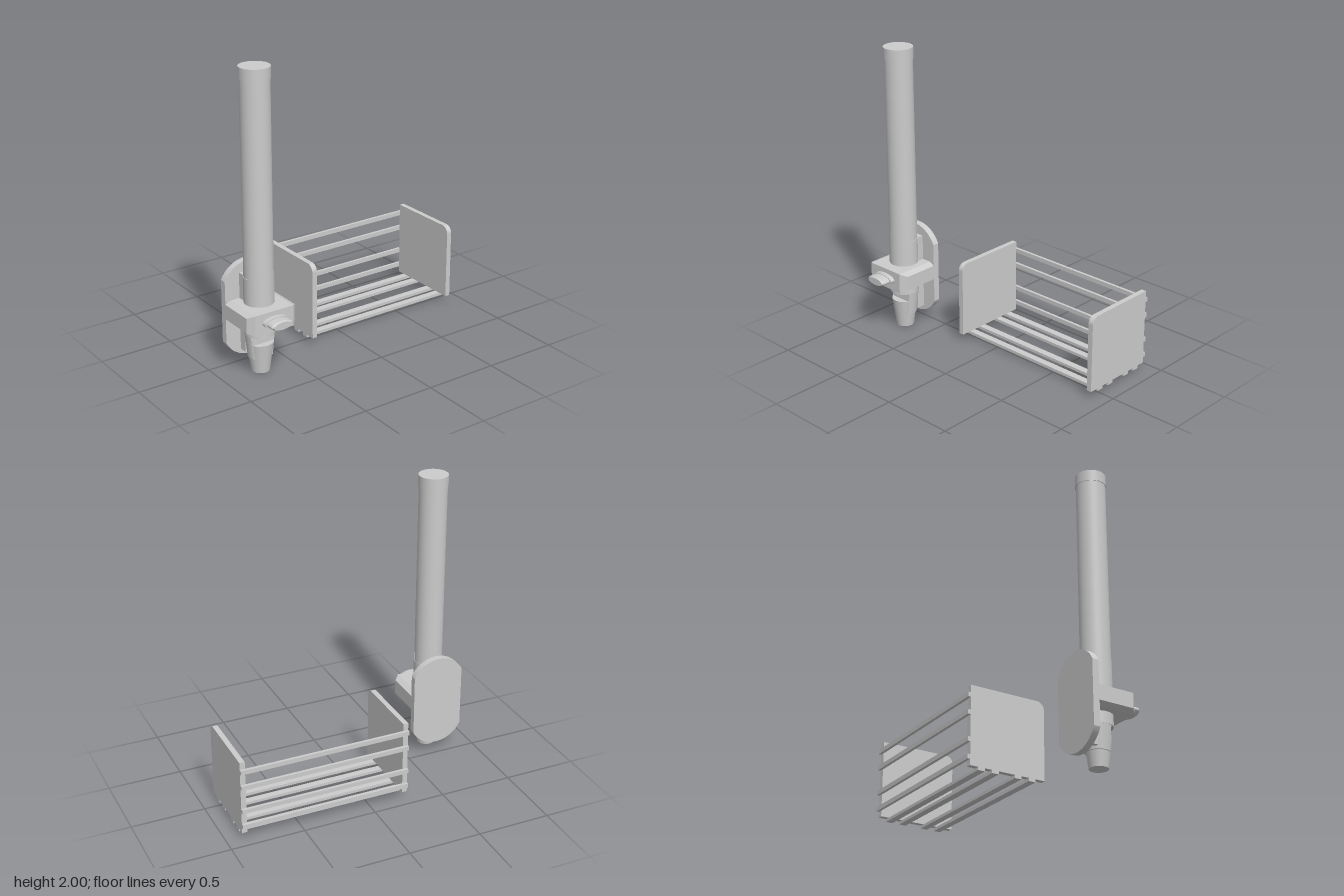
import * as THREE from 'three';
import { ConvexGeometry } from 'three/addons/geometries/ConvexGeometry.js';

const grey = new THREE.MeshStandardMaterial({ color: 0xcccccc });
const flat = new THREE.MeshStandardMaterial({ color: 0xcccccc, flatShading: true });

function add(parent, name, geometry, x = 0, y = 0, z = 0, material = grey) {
  const mesh = new THREE.Mesh(geometry, material);
  mesh.name = name;
  mesh.position.set(x, y, z);
  parent.add(mesh);
  return mesh;
}

// Upright cylinder between two heights
function column(parent, name, rTop, rBottom, y0, y1, x, z) {
  return add(parent, name, new THREE.CylinderGeometry(rTop, rBottom, y1 - y0, 48), x, (y0 + y1) / 2, z);
}

// Rack: two end panels joined by slats along the back and the floor
function createRack() {
  const rack = new THREE.Group();
  rack.name = 'rack';
  const x0 = -0.265, x1 = 0.9, thick = 0.035, r = 0.05;
  // Panel outline drawn in (z, y), with a rounded upper front corner
  const outline = new THREE.Shape();
  outline.moveTo(-0.43, 0.05);
  outline.lineTo(0.1, 0.05);
  outline.lineTo(0.1, 0.57 - r);
  outline.absarc(0.1 - r, 0.57 - r, r, 0, Math.PI / 2, false);
  outline.lineTo(-0.43, 0.57);
  const panel = new THREE.ExtrudeGeometry(outline, { depth: thick, bevelEnabled: false, curveSegments: 12 });
  panel.rotateY(-Math.PI / 2);
  add(rack, 'rightPanel', panel, x0 + thick);
  add(rack, 'leftPanel', panel, x1);

  const length = x1 - x0, mid = (x0 + x1) / 2;
  for (const y of [0.505, 0.392, 0.217, 0.105])
    add(rack, 'backSlat', new THREE.BoxGeometry(length, 0.03, 0.02), mid, y, -0.438);
  for (const z of [0.012, -0.088, -0.25, -0.348]) {
    const width = 0.047;
    add(rack, 'floorSlat', new THREE.BoxGeometry(length, 0.02, width), mid, 0.04, z - 0.003);
  }
  return rack;
}

// Tube holder: wall plate, clamp with knob, long tube and nozzle
function createHolder() {
  const holder = new THREE.Group();
  holder.name = 'tubeHolder';
  const cx = -0.722, cz = 0.175;

  // Wall plate with arched ends
  const R = 0.2, half = 0.18, a = Math.acos(half / R);
  const plate = new THREE.Shape();
  plate.absarc(0, 0.125, R, a, Math.PI - a, false);
  plate.absarc(0, -0.125, R, Math.PI + a, -a, false);
  plate.closePath();
  add(holder, 'wallPlate', new THREE.ExtrudeGeometry(plate, { depth: 0.045, bevelEnabled: false, curveSegments: 24 }),
    cx, 0.398, 0.02);

  // Spine between plate and tube
  add(holder, 'spine', new THREE.BoxGeometry(0.15, 0.53, 0.06), cx, 0.385, 0.092);

  // Clamp block, bevelled along its sides and front corners
  const corners = [];
  for (const sx of [-1, 1]) for (const sy of [-1, 1]) {
    for (const z of [0.06, 0.31])
      corners.push(new THREE.Vector3(sx * 0.18, sy * 0.05, z), new THREE.Vector3(sx * 0.14, sy * 0.07, z));
    corners.push(new THREE.Vector3(sx * 0.14, sy * 0.07, 0.35));
  }
  add(holder, 'clampBlock', new ConvexGeometry(corners), cx, 0.405, 0, flat);

  // Oval knob with a stepped base
  const profile = [[0, 0.34], [0.09, 0.34], [0.09, 0.383], [0.078, 0.383], [0.078, 0.432], [0.065, 0.446], [0, 0.446]]
    .map(([x, y]) => new THREE.Vector2(x, y));
  // Repeated corner points keep the steps crisp
  const crisp = profile.slice(1).flatMap((p, i) => [profile[i], p]);
  const knobGeometry = new THREE.LatheGeometry(crisp, 40);
  knobGeometry.rotateX(Math.PI / 2);
  knobGeometry.scale(1, 0.38, 1);
  knobGeometry.computeVertexNormals();
  add(holder, 'knob', knobGeometry, cx, 0.41, 0);

  // Tube and end cap
  column(holder, 'tube', 0.095, 0.095, 0.26, 1.95, cx, cz);
  column(holder, 'tubeCap', 0.099, 0.099, 1.925, 2, cx, cz);

  // Sleeve whose upper rim climbs towards the front
  const sleeve = column(holder, 'sleeve', 0.098, 0.098, 0.26, 0.65, cx, cz);
  const sp = sleeve.geometry.attributes.position;
  for (let i = 0; i < sp.count; i++)
    if (sp.getY(i) > 0) sp.setY(i, sp.getY(i) + Math.max(0, sp.getZ(i) - 0.02) * 0.95);

  // Tapered cradle, cut flat in front
  const cradle = column(holder, 'cradle', 0.098, 0.08, 0.1, 0.27, cx, cz);
  cradle.geometry = cradle.geometry.toNonIndexed();
  const cp = cradle.geometry.attributes.position;
  for (let i = 0; i < cp.count; i++) cp.setZ(i, Math.min(cp.getZ(i), 0.04));
  cradle.geometry.computeVertexNormals();

  // Nozzle
  column(holder, 'nozzle', 0.087, 0.06, 0, 0.2, cx, cz + 0.002);
  return holder;
}

export function createModel() {
  const model = new THREE.Group();
  model.name = 'rackAndTubeHolder';
  model.add(createRack(), createHolder());
  return model;
}
